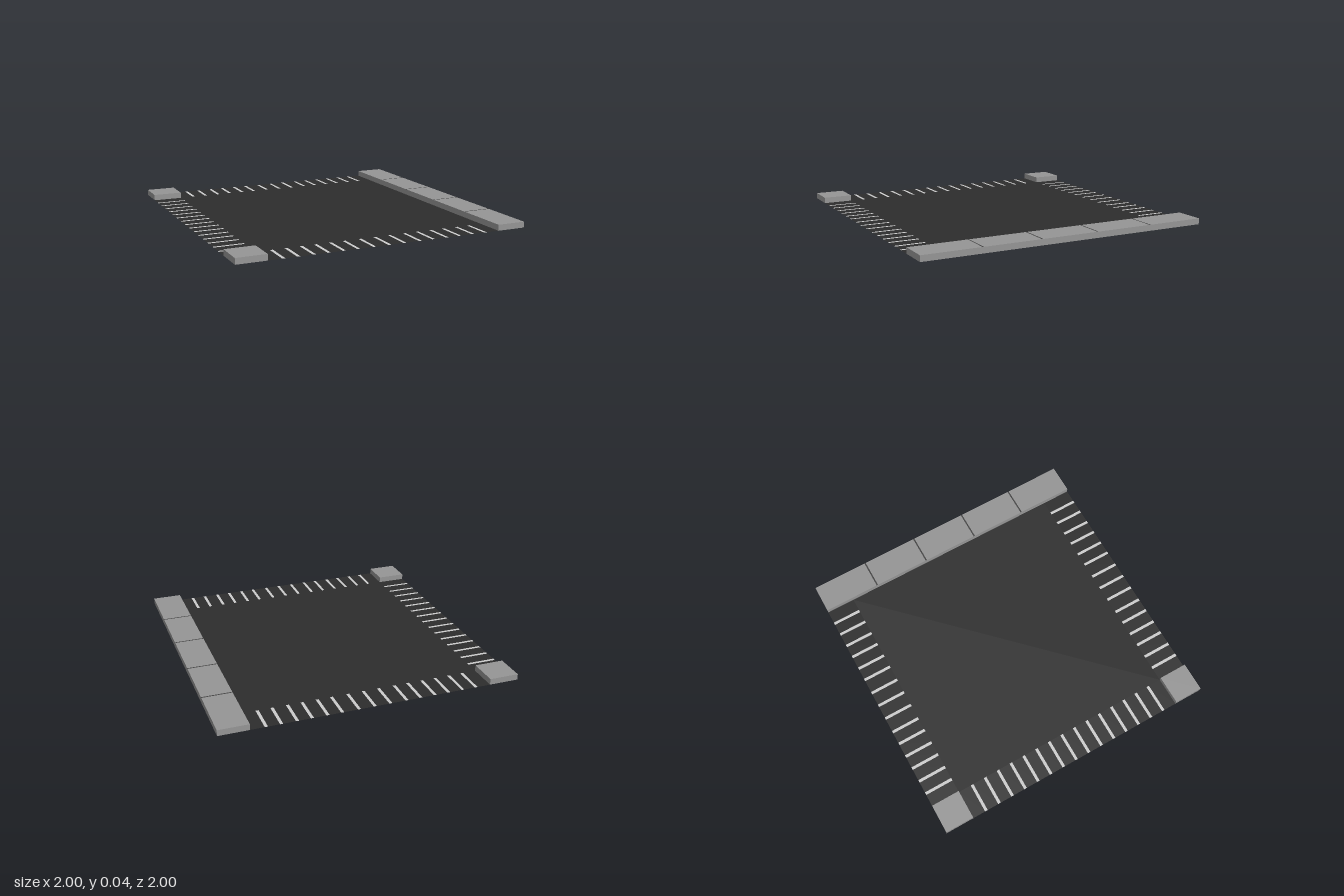
import * as THREE from 'three';

const paint = (color) => new THREE.MeshStandardMaterial({ color, side: THREE.DoubleSide });

export function createModel() {
  const model = new THREE.Group();
  const asphalt = paint(0x2d2d2d), marking = paint(0xcccccc);
  const concrete = paint(0x959595), joint = paint(0x444444);
  const height = 0.04, inner = 0.8, stripe = 0.02, seam = 0.01;

  const group = (name) => {
    const g = new THREE.Group();
    g.name = name;
    model.add(g);
    return g;
  };

  // Flat level rectangle between two corners
  const slab = (parent, name, material, x0, x1, z0, z1, y = 0) => {
    const geometry = new THREE.PlaneGeometry(x1 - x0, z1 - z0).rotateX(-Math.PI / 2);
    const mesh = new THREE.Mesh(geometry, material);
    mesh.name = name;
    mesh.position.set((x0 + x1) / 2, y, (z0 + z1) / 2);
    parent.add(mesh);
  };

  // Road surface, with stripes set flush into three of its edges
  const road = group('road');
  slab(road, 'roadCentre', asphalt, -inner, inner, -inner, inner);

  const edgeBand = (name, centres, place) => {
    const band = group(name);
    let from = -inner;
    for (const c of centres) {
      place(band, 'asphaltGap', asphalt, from, c - stripe / 2);
      place(band, 'stripe', marking, c - stripe / 2, c + stripe / 2);
      from = c + stripe / 2;
    }
    place(band, 'asphaltGap', asphalt, from, inner);
  };
  const half = [0.105, 0.215, 0.31, 0.41, 0.505, 0.605, 0.7];
  const across = [...half.map((v) => -v).reverse(), 0, ...half];
  const along = Array.from({ length: 15 }, (_, i) => (i - 7) * 0.1);
  edgeBand('frontCrossing', across, (g, n, m, a, b) => slab(g, n, m, a, b, inner, 1));
  edgeBand('backCrossing', across, (g, n, m, a, b) => slab(g, n, m, a, b, -1, -inner));
  edgeBand('rightCrossing', along, (g, n, m, a, b) => slab(g, n, m, -1, -inner, a, b));

  // Raised kerb shell: four walls, open underneath
  const kerbWalls = (parent, x0, x1, z0, z1) => {
    const wall = (width, x, z, turn) => {
      const mesh = new THREE.Mesh(new THREE.PlaneGeometry(width, height), concrete);
      mesh.name = 'kerbWall';
      mesh.position.set(x, height / 2, z);
      mesh.rotation.y = turn;
      parent.add(mesh);
    };
    const cx = (x0 + x1) / 2, cz = (z0 + z1) / 2;
    wall(x1 - x0, cx, z1, 0);
    wall(x1 - x0, cx, z0, Math.PI);
    wall(z1 - z0, x1, cz, Math.PI / 2);
    wall(z1 - z0, x0, cz, -Math.PI / 2);
  };

  // Long pavement of five slabs with dark joints
  const pavement = group('pavement');
  kerbWalls(pavement, inner, 1, -1, 1);
  for (let i = 0; i < 5; i++) {
    const z0 = -1 + i * 0.4, z1 = z0 + 0.4;
    slab(pavement, 'pavingSlab', concrete, inner, 1,
      i > 0 ? z0 + seam / 2 : z0, i < 4 ? z1 - seam / 2 : z1, height);
    if (i < 4) slab(pavement, 'pavingJoint', joint, inner, 1, z1 - seam / 2, z1 + seam / 2, height);
  }

  // Small square pavement corners
  for (const [name, z0] of [['frontCorner', inner], ['backCorner', -1]]) {
    const corner = group(name);
    kerbWalls(corner, -1, -inner, z0, z0 + 0.2);
    slab(corner, 'pavingSlab', concrete, -1, -inner, z0, z0 + 0.2, height);
  }

  return model;
}
